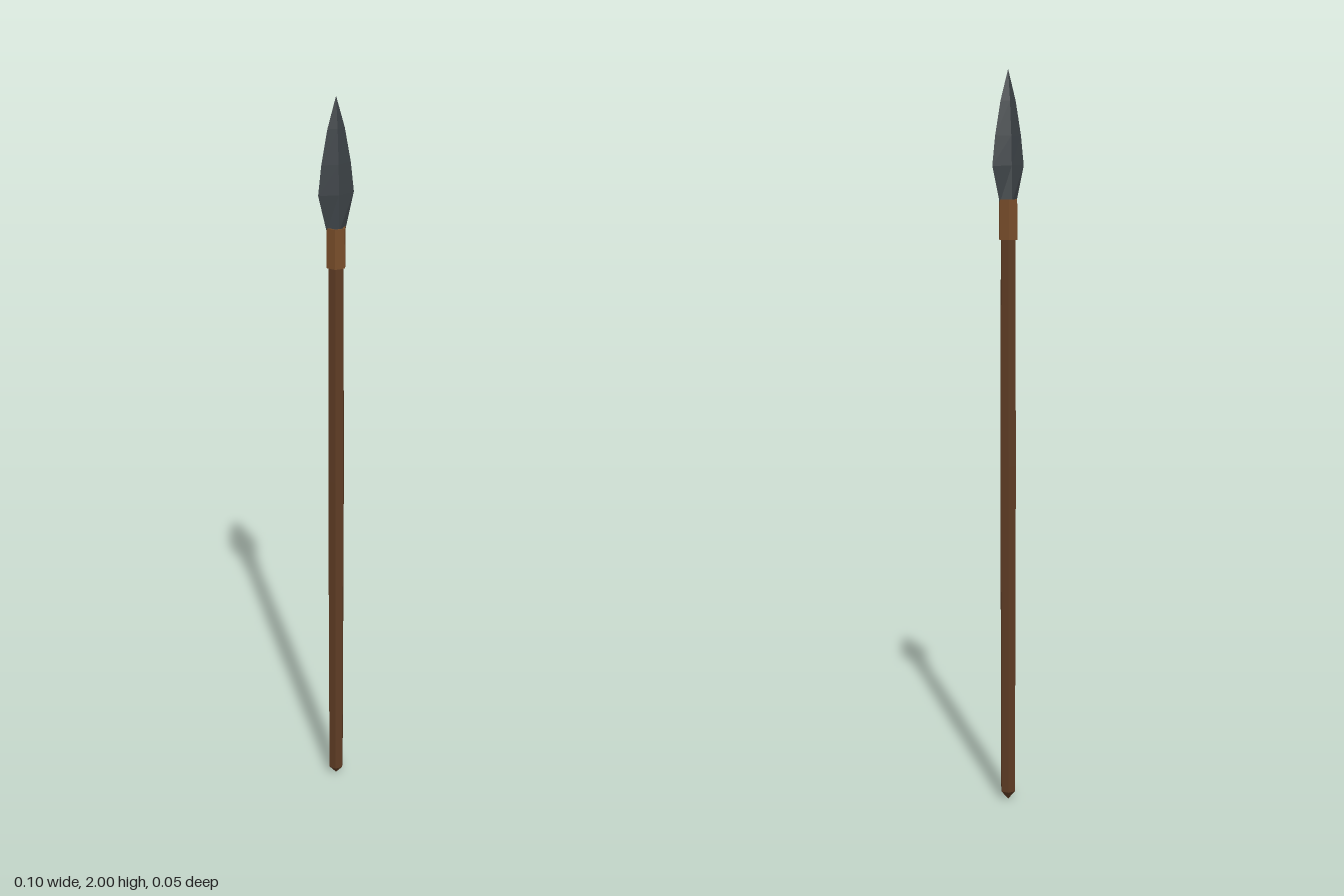
import * as THREE from 'three';

const flat = (color) => new THREE.MeshStandardMaterial({ color, flatShading: true });

// Six-sided turned part with corners on +-x and flats on +-z; profile = [radius, y], outside from bottom to top
function hexTurned(name, profile, material) {
  const points = profile.map(([r, y]) => new THREE.Vector2(r, y));
  const mesh = new THREE.Mesh(new THREE.LatheGeometry(points, 6, Math.PI / 2), material);
  mesh.name = name;
  return mesh;
}

// Diamond-section blade; rows = [y, half width, half thickness], top to bottom
function createBlade(rows, material) {
  const geometry = new THREE.CylinderGeometry(1, 1, 1, 4, rows.length - 1);
  const p = geometry.attributes.position;
  for (let i = 0; i < p.count; i++) {
    const row = rows[Math.round((0.5 - p.getY(i)) * (rows.length - 1))];
    p.setXYZ(i, p.getX(i) * row[1], row[0], p.getZ(i) * row[2]);
  }
  geometry.computeVertexNormals();
  const mesh = new THREE.Mesh(geometry, material);
  mesh.name = 'blade';
  return mesh;
}

export function createModel() {
  const model = new THREE.Group();
  model.name = 'spear';

  // Shaft, slightly swollen in the middle, with a pointed butt
  model.add(hexTurned('shaft', [
    [0, 0], [0.0213, 0.025], [0.0234, 0.95], [0.0214, 1.565],
  ], flat(0x5e3c24)));

  // Socket collar, hollow from the rim down
  model.add(hexTurned('collar', [
    [0, 1.558], [0.0273, 1.558], [0.0268, 1.664], [0.0215, 1.664], [0, 1.57],
  ], flat(0x784d2a)));

  // Leaf-shaped blade set into the socket
  model.add(createBlade([
    [2.0, 0.0005, 0.0005],
    [1.92, 0.024, 0.009],
    [1.83, 0.041, 0.015],
    [1.752, 0.05, 0.0175],
    [1.655, 0.0265, 0.0175],
    [1.62, 0.008, 0.006],
  ], flat(0x3c4246)));

  return model;
}
